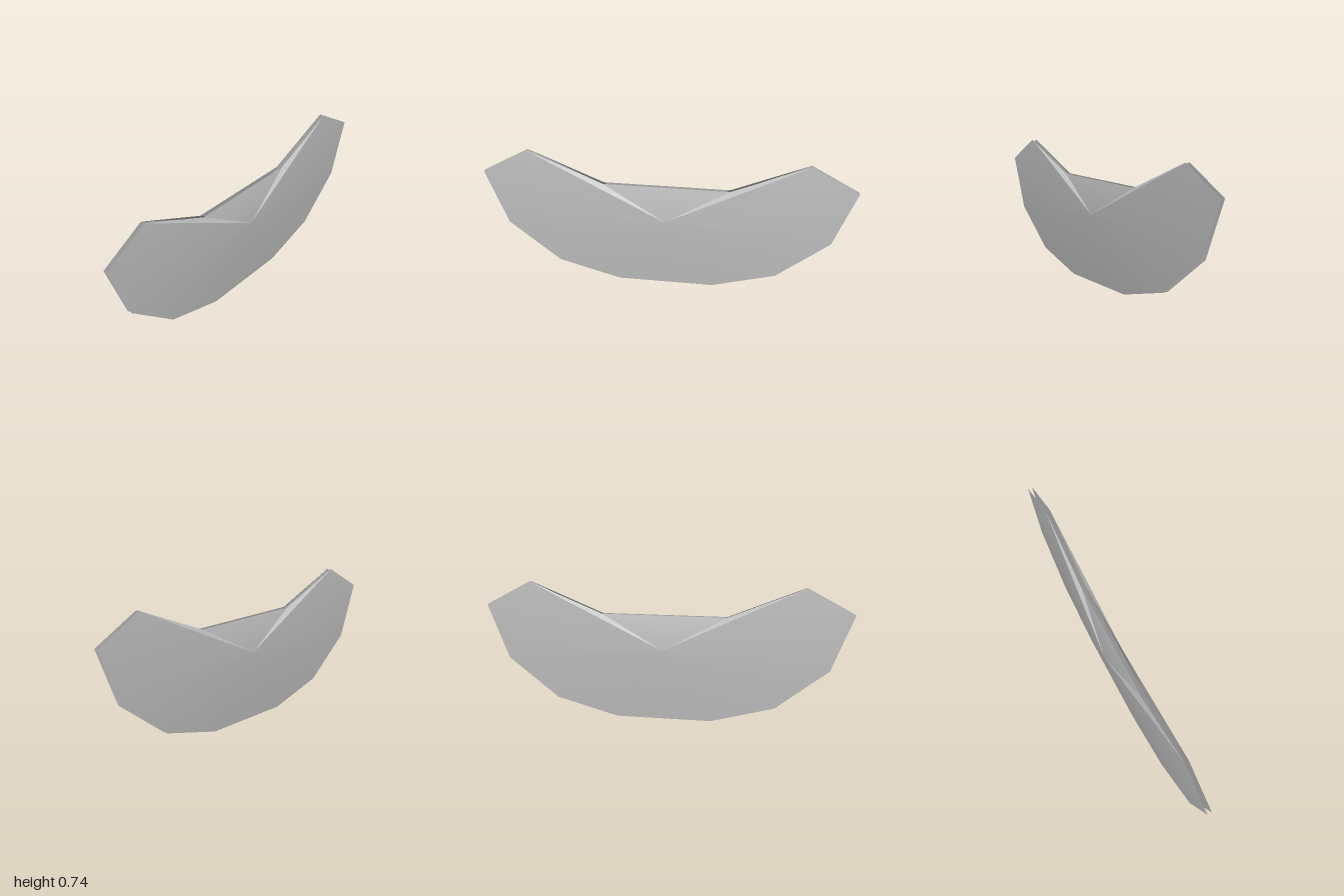
import * as THREE from 'three';
import { toCreasedNormals } from 'three/addons/utils/BufferGeometryUtils.js';

// Right half of the crescent outline, from the bottom round to the notch
const HALF = [[0.26, 0], [0.6, 0.09], [0.88, 0.305], [1, 0.602], [0.75, 0.735], [0.34, 0.57]];
const APEX = [0, 0.387, 0.053];
const RIM_Z = 0.012;

// Shallow shell: a fan of facets from the raised centre to the flat rim
function shellGeometry() {
  const mirrored = HALF.map(([x, y]) => [-x, y]).reverse();
  const rim = [...HALF, ...mirrored];
  const points = [];
  rim.forEach(([x, y], i) => {
    const [nx, ny] = rim[(i + 1) % rim.length];
    points.push(...APEX, x, y, RIM_Z, nx, ny, RIM_Z);
  });
  const geometry = new THREE.BufferGeometry();
  geometry.setAttribute('position', new THREE.Float32BufferAttribute(points, 3));
  return toCreasedNormals(geometry, THREE.MathUtils.degToRad(15));
}

export function createModel() {
  const model = new THREE.Group();
  model.name = 'crescent';

  const grey = new THREE.MeshStandardMaterial({ color: 0xc0c0c0, side: THREE.DoubleSide });
  grey.name = 'light grey';

  // Two matching shells, back to back with a narrow gap
  const geometry = shellGeometry();
  ['frontShell', 'backShell'].forEach((name, i) => {
    const shell = new THREE.Mesh(geometry, grey);
    shell.name = name;
    shell.rotation.y = i * Math.PI;
    model.add(shell);
  });
  return model;
}
